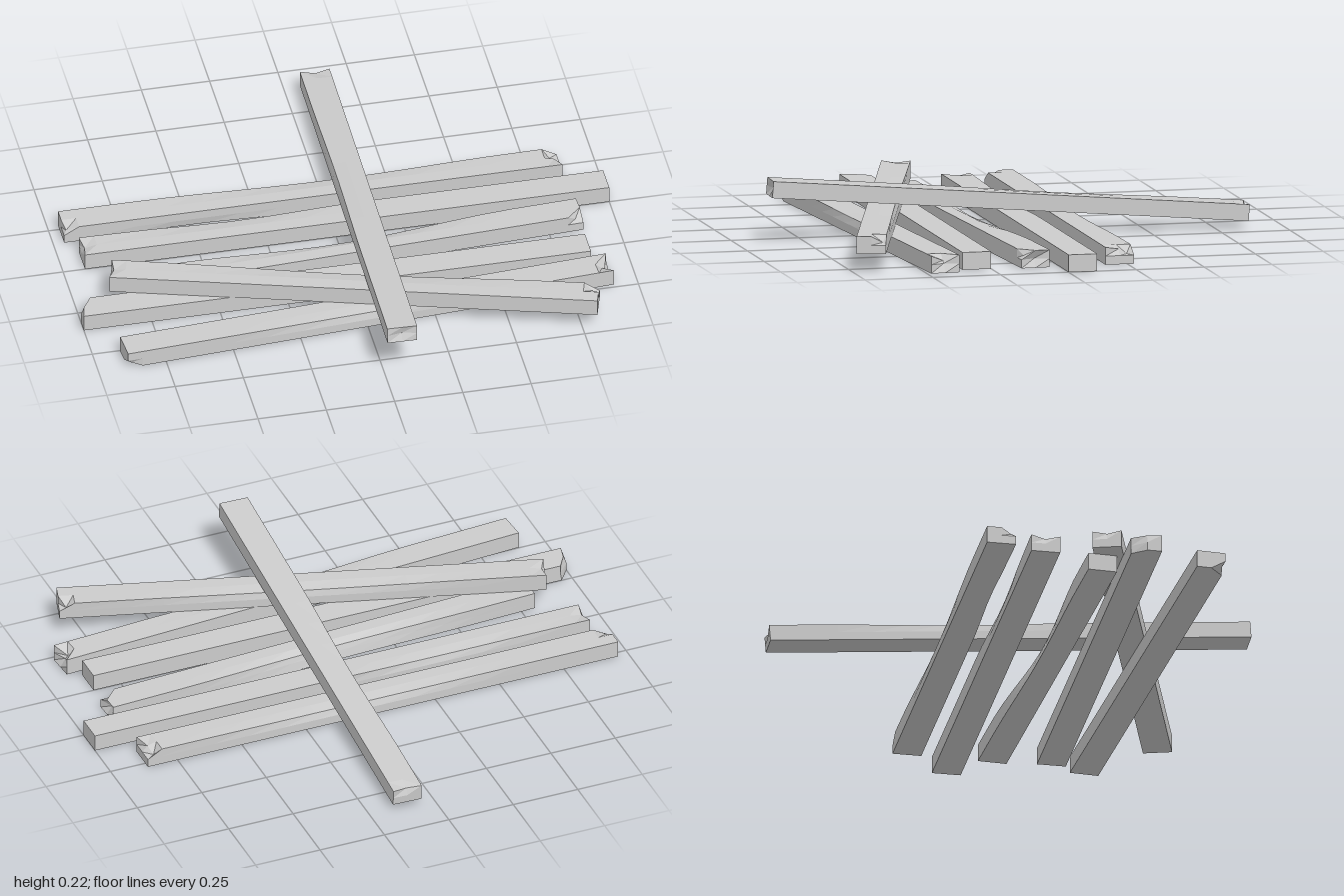
import * as THREE from 'three';

const material = new THREE.MeshStandardMaterial({ color: 0xcccccc, flatShading: true });
const SEGMENTS = 14;

// One worn plank whose end faces are centred on the points a and b.
// wear:  [ySide, zSide, centre, halfSpan, depth, drop] hollows along a long edge (centre, halfSpan from -1 to 1)
// chips: [end, ySide, zSide, dx, dy, dz] pull a corner (or a mid-edge, with 0) inwards
function plank(name, a, b, { width = 0.105, height = 0.063, wear = [], chips = [] } = {}) {
  const start = new THREE.Vector3(...a);
  const end = new THREE.Vector3(...b);
  const length = start.distanceTo(end);
  const geometry = new THREE.BoxGeometry(length, height, width, SEGMENTS, 2, 2);
  const p = geometry.attributes.position;
  for (let i = 0; i < p.count; i++) {
    let x = p.getX(i), y = p.getY(i), z = p.getZ(i);
    const step = Math.round((x / length + 0.5) * SEGMENTS);
    const sy = Math.sign(Math.round(y * 1000));
    const sz = Math.sign(Math.round(z * 1000));
    // The outermost ring sits close to the end, so chips stay short
    if (step === 1) x = -length / 2 + 0.055;
    if (step === SEGMENTS - 1) x = length / 2 - 0.055;
    const u = x / (length / 2);
    for (const [wy, wz, centre, span, depth, drop] of wear) {
      const t = Math.abs(u - centre) / span;
      if (wy !== sy || wz !== sz || t >= 1) continue;
      const amount = 0.5 + 0.5 * Math.cos(Math.PI * t);
      z -= sz * depth * amount;
      y -= sy * drop * amount;
    }
    const ex = step === 0 ? -1 : step === SEGMENTS ? 1 : 0;
    for (const [cx, cy, cz, dx, dy, dz] of chips) {
      if (cx !== ex || cy !== sy || cz !== sz) continue;
      x -= cx * dx;
      y -= cy * dy;
      z -= cz * dz;
    }
    p.setXYZ(i, x, y, z);
  }
  geometry.computeVertexNormals();

  const mesh = new THREE.Mesh(geometry, material);
  const along = end.clone().sub(start).normalize();
  const across = along.clone().cross(new THREE.Vector3(0, 1, 0)).normalize();
  const up = across.clone().cross(along);
  mesh.quaternion.setFromRotationMatrix(new THREE.Matrix4().makeBasis(along, up, across));
  mesh.position.copy(start).add(end).multiplyScalar(0.5);
  mesh.name = name;
  return mesh;
}

export function createModel() {
  const group = new THREE.Group();
  group.name = 'plankPile';
  const low = 0.0315; // mid height of the bottom layer

  group.add(
    // Bottom layer, back to front
    plank('basePlank1', [-0.96, low, -0.222], [0.865, low, -0.222], {
      wear: [[1, -1, 0.1, 0.8, 0.01, 0.008], [-1, 1, -0.5, 0.4, 0.006, 0.004]],
      chips: [[1, 1, -1, 0.03, 0.03, 0.02], [1, 1, 0, 0.02, 0.01, 0], [-1, 1, 1, 0.01, 0.02, 0.015]],
    }),
    plank('basePlank2', [-0.92, low, -0.053], [1, low, -0.053], {
      wear: [[1, -1, -0.4, 0.5, 0.008, 0.008]],
      chips: [[-1, 1, 0, 0.01, 0.01, 0]],
    }),
    plank('basePlank3', [-0.8, low, 0.177], [0.872, low, 0.09], {
      wear: [[1, -1, -0.05, 0.8, 0.025, 0.012], [0, -1, -0.05, 0.8, 0.018, 0], [-1, -1, -0.05, 0.8, 0.01, 0]],
      chips: [[1, 1, 1, 0.025, 0.02, 0.015], [1, 0, 0, 0.02, 0, 0]],
    }),
    plank('basePlank4', [-1, low, 0.303], [0.857, low, 0.303], {
      chips: [[-1, 1, -1, 0.045, 0, 0], [-1, 0, -1, 0.045, 0, 0], [-1, -1, -1, 0.04, 0, 0], [-1, 1, 0, 0.012, 0, 0]],
    }),
    plank('basePlank5', [-0.895, low, 0.555], [0.91, low, 0.432], {
      wear: [[1, 1, 0, 0.6, 0.008, 0.006]],
      chips: [[1, 1, 0, 0.03, 0.022, 0], [1, 0, 0, 0.02, 0, 0], [-1, -1, 1, 0.015, 0.015, 0.01]],
    }),

    // Diagonal plank lying on the bottom layer
    plank('diagonalPlank', [-0.865, 0.095, 0.18], [0.815, 0.095, 0.682], {
      wear: [[1, -1, 0, 0.9, 0.007, 0.008]],
      chips: [[1, 1, -1, 0.025, 0.025, 0.012], [-1, 1, 0, 0.012, 0.006, 0]],
    }),

    // Leaning plank across the top, front to back
    plank('leaningPlank', [0.056, 0.195, 0.87], [0.108, 0.055, -0.873], {
      width: 0.108,
      height: 0.06,
      wear: [[1, -1, 0.2, 0.6, 0.006, 0.004]],
      chips: [[1, 1, 0, 0.012, 0.006, 0], [-1, 0, 0, 0.012, 0, 0]],
    }),
  );
  return group;
}
